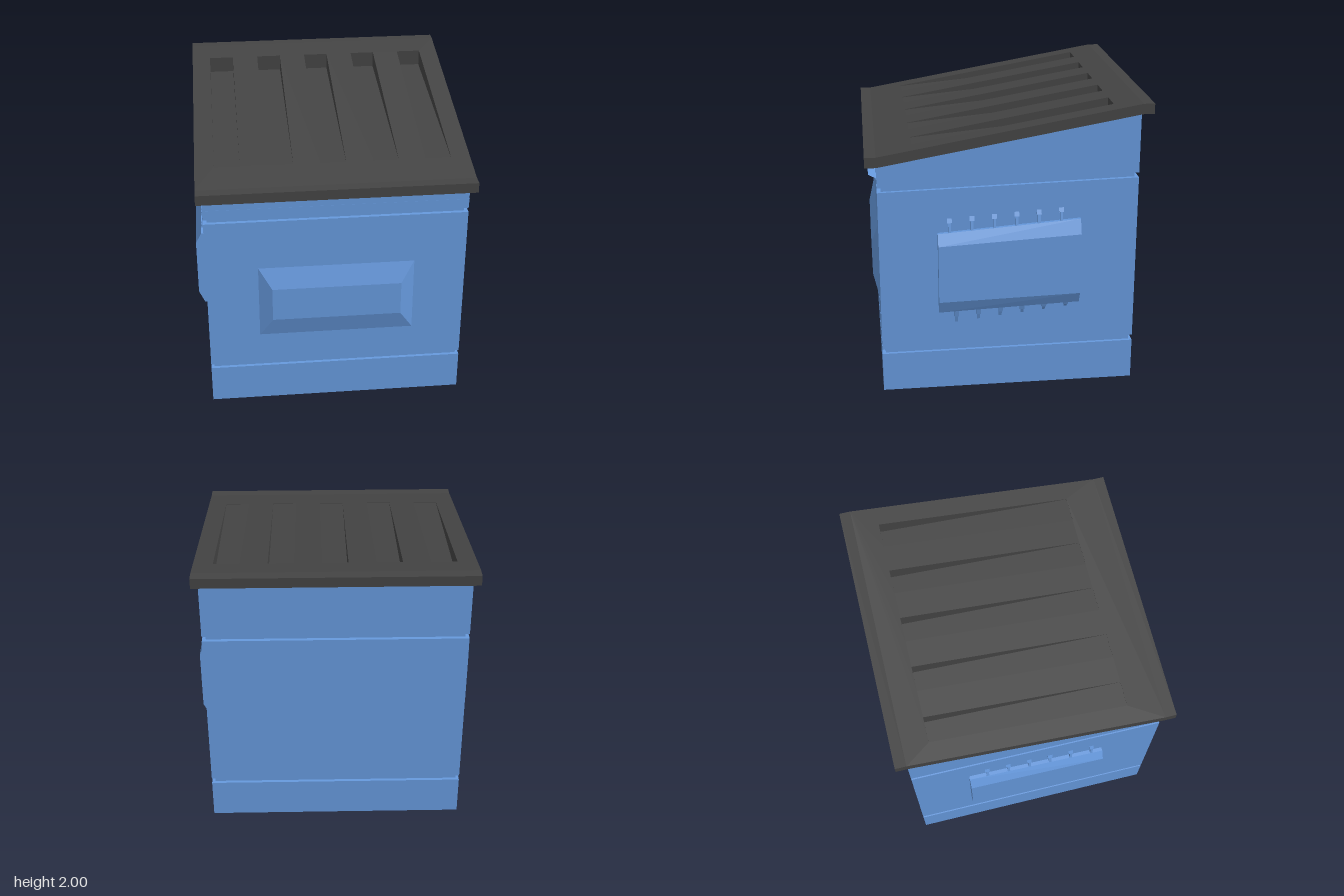
import * as THREE from 'three';

const BLUE = new THREE.MeshStandardMaterial({ color: 0x6699dd, flatShading: true, side: THREE.DoubleSide });
const DARK = new THREE.MeshStandardMaterial({ color: 0x444444, flatShading: true, side: THREE.DoubleSide });

const W = 0.88, D = 0.87;                 // half width and half depth of the bin
const lidW = 0.92, lidD = 0.945, thick = 0.07;
const lerp = THREE.MathUtils.lerp;
const underside = z => lerp(1.93, 1.63, (z + D) / (2 * D)); // sloping lid underside

function mesh(name, geometry, material) {
  const m = new THREE.Mesh(geometry, material);
  m.name = name;
  return m;
}

// Skins a list of rings (each an array of [x, y, z]) with optional end caps
function loft(rings, capStart = true, capEnd = true) {
  const v = [];
  const tri = (a, b, c) => v.push(...a, ...b, ...c);
  const n = rings[0].length;
  for (let r = 0; r < rings.length - 1; r++) {
    for (let i = 0; i < n; i++) {
      const j = (i + 1) % n, p = rings[r], q = rings[r + 1];
      tri(p[i], p[j], q[j]);
      tri(p[i], q[j], q[i]);
    }
  }
  const first = rings[0], last = rings[rings.length - 1];
  for (let i = 1; i < n - 1; i++) {
    if (capStart) tri(first[0], first[i + 1], first[i]);
    if (capEnd) tri(last[0], last[i], last[i + 1]);
  }
  const g = new THREE.BufferGeometry();
  g.setAttribute('position', new THREE.Float32BufferAttribute(v, 3));
  g.computeVertexNormals();
  return g;
}

// Level ring with separate heights at the front and back edges
function ring(x, zf, zb, yf, yb) {
  return [[-x, yf, zf], [x, yf, zf], [x, yb, zb], [-x, yb, zb]];
}

function makeBody() {
  // [front height, back height, inset]
  const levels = [
    [0, 0, 0], [0.277, 0.283, 0], [0.277, 0.283, 0.022], [0.31, 0.322, 0.022], [0.31, 0.322, 0],
    [1.445, 1.485, 0], [1.445, 1.485, 0.025], [1.477, 1.52, 0.025], [1.477, 1.52, 0], [1.63, 1.93, 0],
  ];
  return mesh('body', loft(levels.map(([f, b, i]) => ring(W - i, D - i, i - D, f, b)), true, false), BLUE);
}

function makeFrontPanel() {
  const r = (x, y0, y1, z) => [[-x, y0, z], [x, y0, z], [x, y1, z], [-x, y1, z]];
  return mesh('frontPanel', loft([r(0.53, 0.545, 1.085, D - 0.01), r(0.53, 0.545, 1.085, D),
    r(0.44, 0.69, 0.935, 0.912)]), BLUE);
}

// Small rib segment tapering from (x0, y0) to (x1, y1) against the side wall
function rib(z, w, x0, y0, x1, y1) {
  let pts = [[0.87, y0], [x0, y0], [x1, y1], [0.87, y1]];
  if (y1 < y0) pts = pts.reverse();
  return mesh('rib', loft([z - w / 2, z + w / 2].map(s => pts.map(([x, y]) => [x, y, s]))), BLUE);
}

function makeSidePanel(name) {
  const g = new THREE.Group();
  g.name = name;
  const h = 0.48;
  const r = (x, bf, bb, tb, tf) => [[x, bf, h], [x, bb, -h], [x, tb, -h], [x, tf, h]];
  g.add(mesh('sidePlate', loft([r(0.87, 0.58, 0.612, 1.217, 1.15), r(0.905, 0.58, 0.612, 1.217, 1.15),
    r(0.945, 0.67, 0.692, 1.12, 1.073)]), BLUE));
  for (let i = 0; i < 6; i++) {
    // Upper ribs: narrow stem, wider head
    const zt = 0.4 - i * 0.15, top = lerp(1.15, 1.217, (h - zt) / (2 * h));
    const tip = lerp(1.25, 1.295, i / 5), neck = tip - 0.03;
    g.add(rib(zt, 0.018, 0.907, top - 0.01, 0.893, neck), rib(zt, 0.032, 0.893, neck, 0.88, tip));
    // Lower ribs: wide root, narrow tip
    const zb = 0.36 - i * 0.15, low = lerp(0.58, 0.612, (h - zb) / (2 * h));
    const end = lerp(0.495, 0.572, i / 5), mid = (low + end) / 2;
    g.add(rib(zb, 0.032, 0.905, low + 0.01, 0.893, mid), rib(zb, 0.02, 0.893, mid, 0.88, end));
  }
  return g;
}

function makeLid() {
  const lid = new THREE.Group();
  lid.name = 'lid';
  const z0 = -0.7, z1 = 0.635, hw = 0.085;
  const centres = [-2, -1, 0, 1, 2].map(i => i * 0.353);

  // Sloping slab pierced by five slots, sheared to the slope
  const rect = (P, x0, x1, y0, y1) => new P([[x0, y0], [x1, y0], [x1, y1], [x0, y1]]
    .map(([x, y]) => new THREE.Vector2(x, y)));
  const outline = rect(THREE.Shape, -lidW, lidW, -D, D);
  outline.holes = centres.map(c => rect(THREE.Path, c - hw, c + hw, -z1, -z0));
  const slab = new THREE.ExtrudeGeometry(outline, { depth: thick, bevelEnabled: false });
  slab.rotateX(-Math.PI / 2);
  const p = slab.attributes.position;
  for (let i = 0; i < p.count; i++) p.setY(i, p.getY(i) + underside(p.getZ(i)));
  slab.computeVertexNormals();
  lid.add(mesh('lidSlab', slab, DARK));

  // Flat rims along the front and back
  for (const [name, zf, zb, y] of [['frontRim', lidD, D, 1.63], ['backRim', -D, -lidD, 1.93]]) {
    lid.add(mesh(name, loft([ring(lidW, zf, zb, y, y), ring(lidW, zf, zb, y + thick, y + thick)]), DARK));
  }

  // Wedge recesses that deepen towards the back
  const yf = underside(z1) + thick, yb = underside(z0) + thick;
  for (const c of centres) {
    const shift = r => r.map(([x, y, z]) => [x + c, y, z]);
    lid.add(mesh('recess', loft([shift(ring(hw, z1, z0, yf - 0.003, 1.86)),
      shift(ring(hw, z1, z0, yf - 0.001, yb - 0.001))], true, false), DARK));
  }
  return lid;
}

export function createModel() {
  const model = new THREE.Group();
  model.name = 'slopedLidBin';
  model.add(makeBody(), makeFrontPanel(), makeLid());

  const left = makeSidePanel('leftPanel');
  const right = makeSidePanel('rightPanel');
  right.scale.x = -1;
  model.add(left, right);

  // Thin drip lip beneath the front of the lid
  const lip = new THREE.PlaneGeometry(2 * W, 0.06);
  lip.rotateX(Math.PI / 2 - 0.5);
  lip.translate(0, 1.56, D + 0.026);
  model.add(mesh('frontLip', lip, BLUE));
  return model;
}
